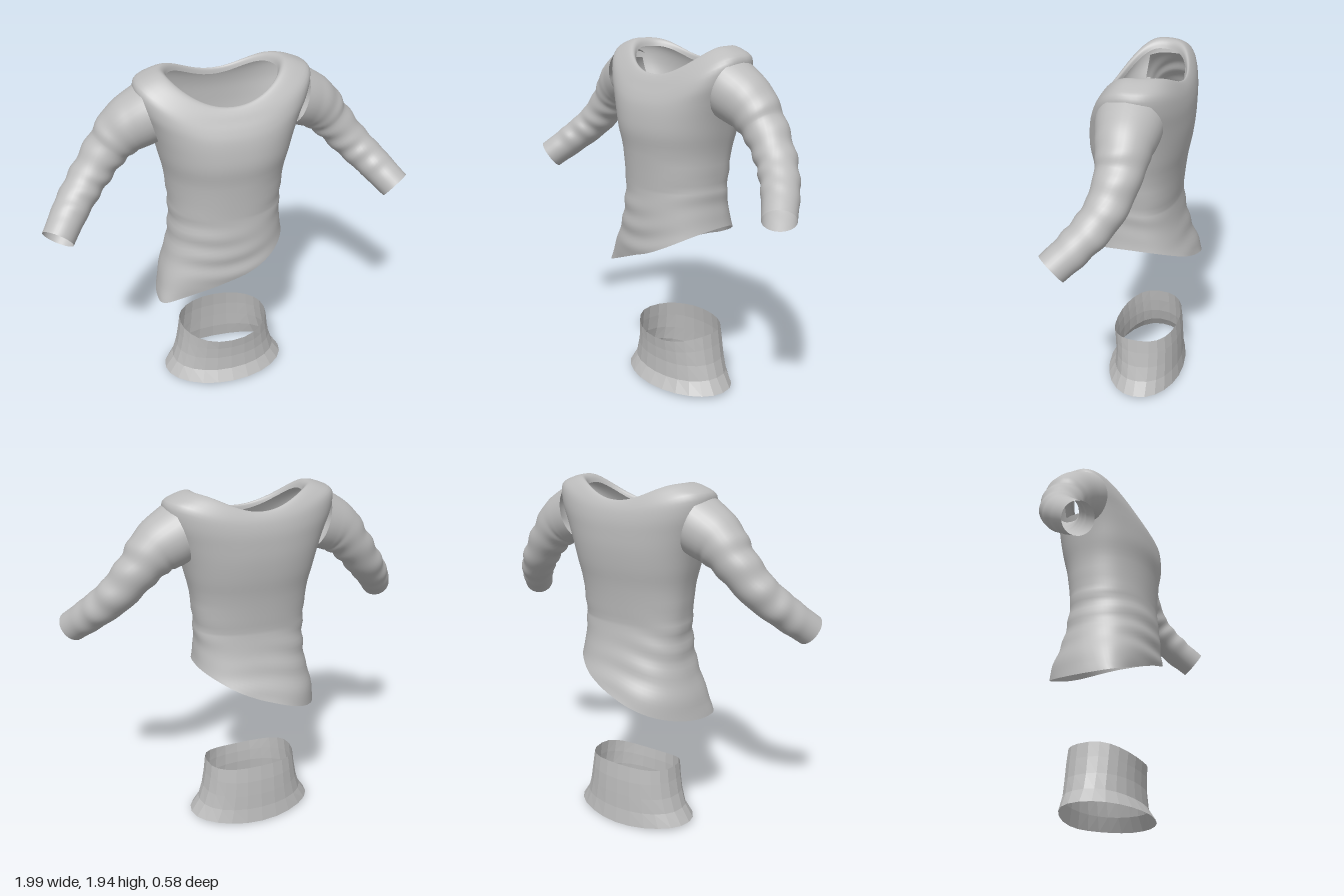
import * as THREE from 'three';

const cloth = new THREE.MeshStandardMaterial({ color: 0xbcbcbc, side: THREE.DoubleSide });
cloth.name = 'grey cloth';

// Skin a grid of points: rows run down the part, each row is a closed ring.
function loft(name, rows, { keep = () => true, flat = false } = {}) {
  const n = rows[0].length, index = [];
  const mid = new THREE.Vector3();
  for (let r = 0; r < rows.length - 1; r++) {
    for (let i = 0; i < n; i++) {
      const j = (i + 1) % n;
      mid.copy(rows[r][i]).add(rows[r + 1][j]).multiplyScalar(0.5);
      if (!keep(mid)) continue;
      const a = r * n + i, b = r * n + j, c = a + n, d = b + n;
      index.push(a, b, c, b, d, c);
    }
  }
  let geometry = new THREE.BufferGeometry().setFromPoints(rows.flat());
  geometry.setIndex(index);
  if (flat) geometry = geometry.toNonIndexed();
  geometry.computeVertexNormals();
  const mesh = new THREE.Mesh(geometry, cloth);
  mesh.name = name;
  return mesh;
}

// Smooth value at t (0..1) through evenly spaced keys.
function ease(keys, t) {
  const x = THREE.MathUtils.clamp(t, 0, 1) * (keys.length - 1);
  const i = Math.min(Math.floor(x), keys.length - 2), f = x - i;
  const p0 = keys[Math.max(i - 1, 0)], p1 = keys[i], p2 = keys[i + 1];
  const p3 = keys[Math.min(i + 2, keys.length - 1)];
  const m1 = (p2 - p0) / 2, m2 = (p3 - p1) / 2;
  return p1 + f * (m1 + f * (3 * (p2 - p1) - 2 * m1 - m2 + f * (2 * (p1 - p2) + m1 + m2)));
}

const power = (v, e) => Math.sign(v) * Math.abs(v) ** e;

// Point on a ring given as [half width, side y, front z, front y, back z, back y, roundness].
function ringPoint([w, ys, zf, yf, zb, yb, e], u) {
  const c = Math.cos(u), s = Math.sin(u);
  const y = s > 0 ? THREE.MathUtils.lerp(ys, yf, s * s) : THREE.MathUtils.lerp(ys, yb, s ** 4);
  const z = s > 0 ? zf * power(s, e) : zb * power(-s, e * 0.9);
  return new THREE.Vector3(w * power(c, e), y, z);
}

const angles = (n) => Array.from({ length: n }, (_, i) => (i / n) * Math.PI * 2);

function makeTorso() {
  // Turned-in neckline, shoulders, chest and waist
  const rings = [
    [0.285, 1.90, 0.175, 1.765, -0.18, 1.82, 0.96],
    [0.30, 1.93, 0.18, 1.79, -0.185, 1.845, 0.96],
    [0.33, 1.944, 0.195, 1.79, -0.195, 1.85, 0.95],
    [0.395, 1.928, 0.215, 1.765, -0.212, 1.825, 0.92],
    [0.455, 1.89, 0.235, 1.73, -0.225, 1.79, 0.88],
    [0.445, 1.80, 0.257, 1.69, -0.234, 1.74, 0.85],
    [0.405, 1.70, 0.277, 1.64, -0.236, 1.68, 0.84],
    [0.372, 1.60, 0.29, 1.57, -0.234, 1.60, 0.85],
    [0.348, 1.50, 0.294, 1.49, -0.222, 1.50, 0.87],
    [0.322, 1.38, 0.28, 1.38, -0.20, 1.38, 0.9],
    [0.306, 1.20, 0.27, 1.20, -0.18, 1.20, 0.9],
  ];
  const us = angles(72), rows = [], last = rings.length - 1;
  for (let k = 0; k <= last * 4; k++) {
    const ring = rings[0].map((_, q) => ease(rings.map((r) => r[q]), k / (last * 4)));
    rows.push(us.map((u) => ringPoint(ring, u)));
  }
  // Flared lower body running to a slanted hem, its low corner swung forward
  for (let k = 1; k <= 20; k++) {
    rows.push(us.map((u) => {
      const y = THREE.MathUtils.lerp(1.2, 0.825 + 0.165 * Math.cos(u), k / 20);
      const t = (1.2 - y) / 0.54;
      const w = ease([0.306, 0.31, 0.335, 0.38, 0.41], t);
      const zf = ease([0.27, 0.28, 0.285, 0.285, 0.25], t);
      const zb = ease([-0.18, -0.20, -0.24, -0.295, -0.30], t);
      const p = ringPoint([w, y, zf, y, zb, y, 0.9], u);
      p.z += 0.12 * Math.max(0, -Math.cos(u)) ** 3 * t * t;
      return p;
    }));
  }
  // Slanting creases around the waist
  for (const p of rows.flat()) {
    const amount = THREE.MathUtils.smoothstep(1.42 - p.y, 0, 0.2) * 0.016;
    const crease = Math.sin(p.y * 52 - p.x * 11 + Math.sin(p.x * 9 + p.z * 5))
      * (0.55 + 0.45 * Math.sin(p.x * 7 + p.y * 9));
    const swell = 1 + amount * crease;
    p.x *= swell;
    p.z *= swell;
  }
  // Leave the armholes open
  const keep = (p) => !(Math.abs(p.x) > 0.37 && p.y > 1.65 && p.y < 1.82 && Math.abs(p.z) < 0.1);
  return loft('torso', rows, { keep });
}

function makeSleeve(name, side) {
  const path = new THREE.CatmullRomCurve3([
    [0.395, 1.735, -0.005], [0.50, 1.675, -0.01], [0.60, 1.575, -0.01],
    [0.72, 1.435, 0.028], [0.825, 1.325, 0.112], [0.922, 1.218, 0.225],
  ].map((p) => new THREE.Vector3(...p)));
  const seamUp = new THREE.Vector3(0.27, 0.96, 0);
  const us = angles(32), rows = [], steps = 60;
  for (let k = 0; k <= steps; k++) {
    const t = k / steps;
    const center = path.getPoint(t), along = path.getTangent(t);
    const across = new THREE.Vector3(0, 1, 0).cross(along).normalize();
    // Rings lean from the shoulder seam into the line of the arm
    const up = along.clone().cross(across).lerp(seamUp, 1 - THREE.MathUtils.smoothstep(t, 0, 0.3)).normalize();
    const tall = ease([0.157, 0.14, 0.112, 0.098, 0.09, 0.083], t);
    const deep = ease([0.165, 0.142, 0.117, 0.102, 0.094, 0.084], t);
    const rumple = THREE.MathUtils.smoothstep(t, 0.1, 0.4) * (1 - THREE.MathUtils.smoothstep(t, 0.8, 0.98)) * 0.05;
    rows.push(us.map((u) => {
      // Bunched folds, fading at the seam and the cuff
      const r = 1 + rumple * Math.sin(t * 46 + 1.5 * Math.sin(u + t * 6)) * (0.6 + 0.4 * Math.cos(u * 2 + t * 9));
      const p = center.clone()
        .addScaledVector(up, Math.sin(u) * tall * r)
        .addScaledVector(across, Math.cos(u) * deep * r);
      p.x *= side;
      return p;
    }));
  }
  // Keep the ring direction the same on both sides
  if (side > 0) rows.forEach((row) => row.reverse());
  return loft(name, rows);
}

function makeWaistband() {
  const rings = [
    [0.262, 0.35, 0.192, 0.30, -0.19, 0.362, 0.9],
    [0.272, 0.27, 0.185, 0.24, -0.20, 0.27, 0.9],
    [0.288, 0.18, 0.182, 0.17, -0.205, 0.18, 0.92],
    [0.315, 0.095, 0.188, 0.08, -0.208, 0.09, 0.95],
    [0.365, 0.02, 0.23, 0.015, -0.22, 0.0, 1],
  ];
  const rows = rings.map((ring) => angles(24).map((u) => ringPoint(ring, u)));
  return loft('waistband', rows, { flat: true });
}

export function createModel() {
  const model = new THREE.Group();
  model.name = 'slanted shirt and waistband';
  model.add(makeTorso(), makeSleeve('leftSleeve', 1), makeSleeve('rightSleeve', -1), makeWaistband());
  return model;
}
